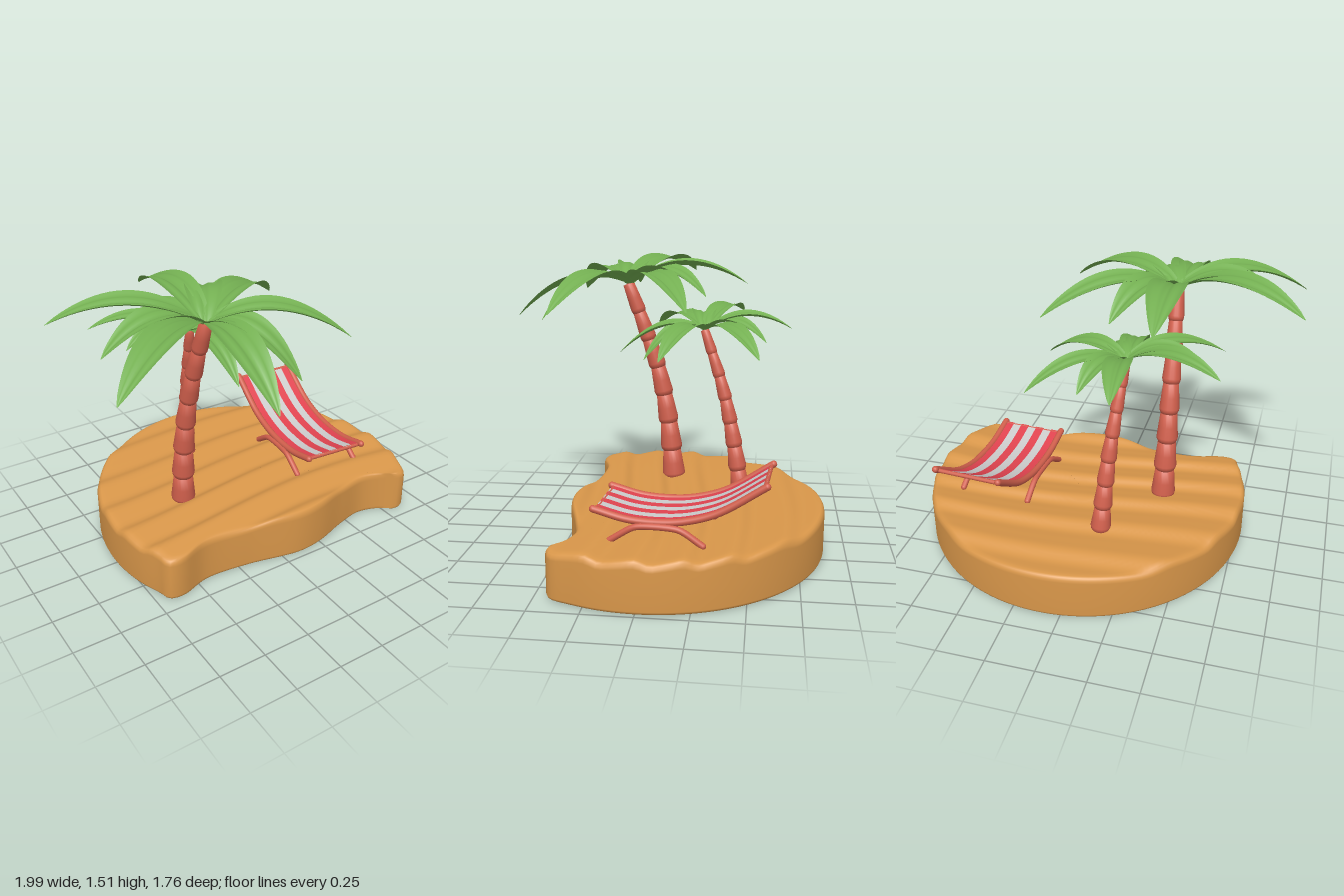
import * as THREE from 'three';

const mat = (color, side = THREE.FrontSide) => new THREE.MeshStandardMaterial({ color, side });
const sandMat = mat(0xd9974a), woodMat = mat(0xd05f4c);
const leafMat = mat(0x74b052, THREE.DoubleSide);
const redMat = mat(0xe0434f, THREE.DoubleSide), paleMat = mat(0xcccccc, THREE.DoubleSide);
const V = (x, y, z) => new THREE.Vector3(x, y, z);
const UP = V(0, 1, 0);

function add(parent, name, geometry, material) {
  const mesh = new THREE.Mesh(geometry, material);
  mesh.name = name;
  parent.add(mesh);
  return mesh;
}

// Indexed surface through rows of points
function surface(rows, closed) {
  const n = rows[0].length, pos = [], idx = [];
  rows.forEach(r => r.forEach(p => pos.push(p.x, p.y, p.z)));
  for (let i = 0; i < rows.length - 1; i++) {
    for (let j = 0; j < (closed ? n : n - 1); j++) {
      const k = (j + 1) % n, a = i * n + j, b = i * n + k, c = a + n, d = b + n;
      idx.push(a, c, b, b, c, d);
    }
  }
  const g = new THREE.BufferGeometry();
  g.setAttribute('position', new THREE.Float32BufferAttribute(pos, 3));
  g.setIndex(idx);
  g.computeVertexNormals();
  return g;
}

// Round slab of sand with a wavy front shore and a rippled top
function makeIsland() {
  const shore = [];
  for (let i = 0; i <= 26; i++) {
    const a = 0.22 - (i / 26) * (Math.PI + 0.64);
    shore.push(V(0.1 + 0.885 * Math.cos(a), 0, 0.885 * Math.sin(a)));
  }
  [[-0.69, 0.42], [-0.62, 0.435], [-0.45, 0.385], [-0.2, 0.405], [0.1, 0.465], [0.25, 0.45], [0.45, 0.385],
    [0.62, 0.35], [0.75, 0.385], [0.835, 0.44], [0.885, 0.415], [0.925, 0.32]].forEach(([x, z]) => shore.push(V(x, 0, z)));
  const outline = new THREE.CatmullRomCurve3(shore.reverse(), true).getSpacedPoints(180).slice(0, 180);
  const ripple = (x, z) => {
    const p = 27 * z + 1.3 * Math.sin(2.6 * x + 0.6) + 0.9 * Math.sin(4 * z + 1.5 * x);
    return 0.012 * Math.sin(p + 0.5 * Math.sin(p));
  };
  // Ring profile: scale towards the centre, height, share of ripple
  const profile = [[0, 0, 0], [0.975, 0, 0], [0.985, 0.001, 0], [0.995, 0.007, 0], [1, 0.018, 0], [1, 0.12, 0],
    [1, 0.215, 0.8], [0.997, 0.23, 0.9], [0.988, 0.243, 1], [0.975, 0.25, 1]];
  for (let i = 1; i <= 36; i++) profile.push([0.975 * (1 - i / 36), 0.252, 1]);
  const rows = profile.map(([s, y, w]) => outline.map(p => {
    const x = 0.1 + (p.x - 0.1) * s, z = -0.1 + (p.z + 0.1) * s;
    return V(x, y + w * ripple(x, z), z);
  }));
  return surface(rows, true);
}

// Trunk of stacked flared segments along a curve
function makeTrunk(points, r0, r1, count) {
  const group = new THREE.Group();
  group.name = 'trunk';
  const stops = new THREE.CatmullRomCurve3(points.map(p => V(...p))).getSpacedPoints(count);
  for (let i = 0; i < count; i++) {
    const dir = stops[i + 1].clone().sub(stops[i]), len = dir.length();
    const r = r0 + (r1 - r0) * i / (count - 1);
    const shape = [[0, -0.012], [r * 0.8, -0.012], [r * 0.97, 0.008], [r, 0.02], [r * 0.9, len * 0.5], [r * 0.77, len], [0, len + 0.005]];
    const seg = add(group, 'trunkSegment', new THREE.LatheGeometry(shape.map(p => new THREE.Vector2(...p)), 18), woodMat);
    seg.position.copy(stops[i]);
    seg.quaternion.setFromUnitVectors(UP, dir.normalize());
  }
  return group;
}

// Arched, lightly folded leaf from the crown centre to its tip
function makeFrond(x, h, z) {
  const len = Math.hypot(x, z), side = V(-z / len, 0, x / len);
  const path = new THREE.QuadraticBezierCurve3(V(0, 0, 0), V(x * 0.48, 0.15 + 0.4 * (h + 0.17), z * 0.48), V(x, h, z));
  const rows = [];
  for (let i = 0; i <= 20; i++) {
    const t = i / 20, c = path.getPoint(t), row = [];
    const w = 0.003 + 0.092 * Math.pow(Math.max(0, Math.sin(Math.PI * (0.07 + 0.93 * t))), 0.8);
    for (let j = -6; j <= 6; j++) {
      const u = j / 6;
      const p = c.clone().addScaledVector(side, u * w);
      p.y += w * (0.24 * Math.abs(u) - 0.05 * Math.cos(3 * Math.PI * u));
      row.push(p);
    }
    rows.push(row.reverse());
  }
  return surface(rows, false);
}

// Leaf tips relative to the crown: x, height, z
const TIPS = [[-0.03, -0.19, 0.655], [0.24, -0.18, 0.45], [0.63, -0.10, 0.32], [0.63, -0.08, -0.38], [0.25, -0.04, -0.45],
  [-0.01, 0.01, -0.66], [-0.67, 0.03, -0.32], [-0.55, -0.04, 0.02], [-0.65, -0.09, 0.38]];

function makePalm(name, trunk, crownAt, scale, turn, tilt) {
  const palm = new THREE.Group();
  palm.name = name;
  palm.add(trunk);
  const crown = new THREE.Group();
  crown.name = 'crown';
  TIPS.forEach(t => add(crown, 'frond', makeFrond(...t), leafMat));
  crown.position.set(...crownAt);
  crown.scale.setScalar(scale);
  crown.rotation.set(0, turn, tilt);
  palm.add(crown);
  return palm;
}

// Round bar with rounded ends
function bar(parent, name, points, r) {
  const curve = new THREE.CatmullRomCurve3(points, false, 'centripetal');
  add(parent, name, new THREE.TubeGeometry(curve, points.length > 2 ? 28 : 1, r, 12), woodMat);
  [points[0], points[points.length - 1]].forEach(p =>
    add(parent, name + 'End', new THREE.SphereGeometry(r, 12, 8), woodMat).position.copy(p));
}

function makeChair() {
  const chair = new THREE.Group();
  chair.name = 'deckChair';
  const line = [[0.555, -0.415], [0.41, -0.19], [0.36, -0.04], [0.345, 0.08], [0.35, 0.24], [0.39, 0.41]];
  const legs = [[0.245, 0.325], [0.315, 0.215], [0.325, 0.18], [0.325, 0.01], [0.315, -0.025], [0.25, -0.125]];
  for (const s of [-1, 1]) {
    bar(chair, 'sideRail', line.map(([y, z]) => V(s * 0.178, y, z)), 0.018);
    bar(chair, 'legFrame', legs.map(([y, z]) => V(s * 0.195, y, z)), 0.016);
  }
  // Cross bars at both ends and under the seat
  for (const [y, z] of [[0.545, -0.405], [0.382, 0.395], [0.322, 0.17], [0.322, 0.02]]) {
    bar(chair, 'crossBar', [V(-0.18, y, z), V(0.18, y, z)], 0.011);
  }
  // Striped cloth following the rails
  const curve = new THREE.CatmullRomCurve3(line.map(([y, z]) => V(0, y, z)), false, 'centripetal');
  const w = 0.336 / 7;
  for (let k = 0; k < 7; k++) {
    const g = new THREE.PlaneGeometry(w, 1, 1, 28), pos = g.attributes.position;
    for (let i = 0; i < pos.count; i++) {
      const p = curve.getPointAt(0.01 + 0.98 * (0.5 - pos.getY(i)));
      pos.setXYZ(i, pos.getX(i) + (k - 3) * w, p.y + 0.006, p.z);
    }
    g.computeVertexNormals();
    add(chair, 'clothStripe', g, k % 2 ? paleMat : redMat);
  }
  chair.position.set(0.543, 0, -0.18);
  chair.rotation.y = -0.08;
  return chair;
}

export function createModel() {
  const model = new THREE.Group();
  model.name = 'beachIsland';
  add(model, 'sandIsland', makeIsland(), sandMat);
  const bigTrunk = makeTrunk([[-0.34, 0.24, -0.035], [-0.345, 0.55, -0.005], [-0.345, 0.85, 0.05], [-0.34, 1.1, 0.13], [-0.33, 1.36, 0.225]],
    0.066, 0.042, 7);
  model.add(makePalm('largePalm', bigTrunk, [-0.33, 1.36, 0.22], 1, 0, 0));
  const smallTrunk = makeTrunk([[-0.09, 0.24, -0.435], [-0.105, 0.5, -0.395], [-0.13, 0.8, -0.33], [-0.165, 1.13, -0.22]],
    0.054, 0.03, 7);
  model.add(makePalm('smallPalm', smallTrunk, [-0.165, 1.13, -0.22], 0.72, 0.07, -0.06));
  model.add(makeChair());
  return model;
}
